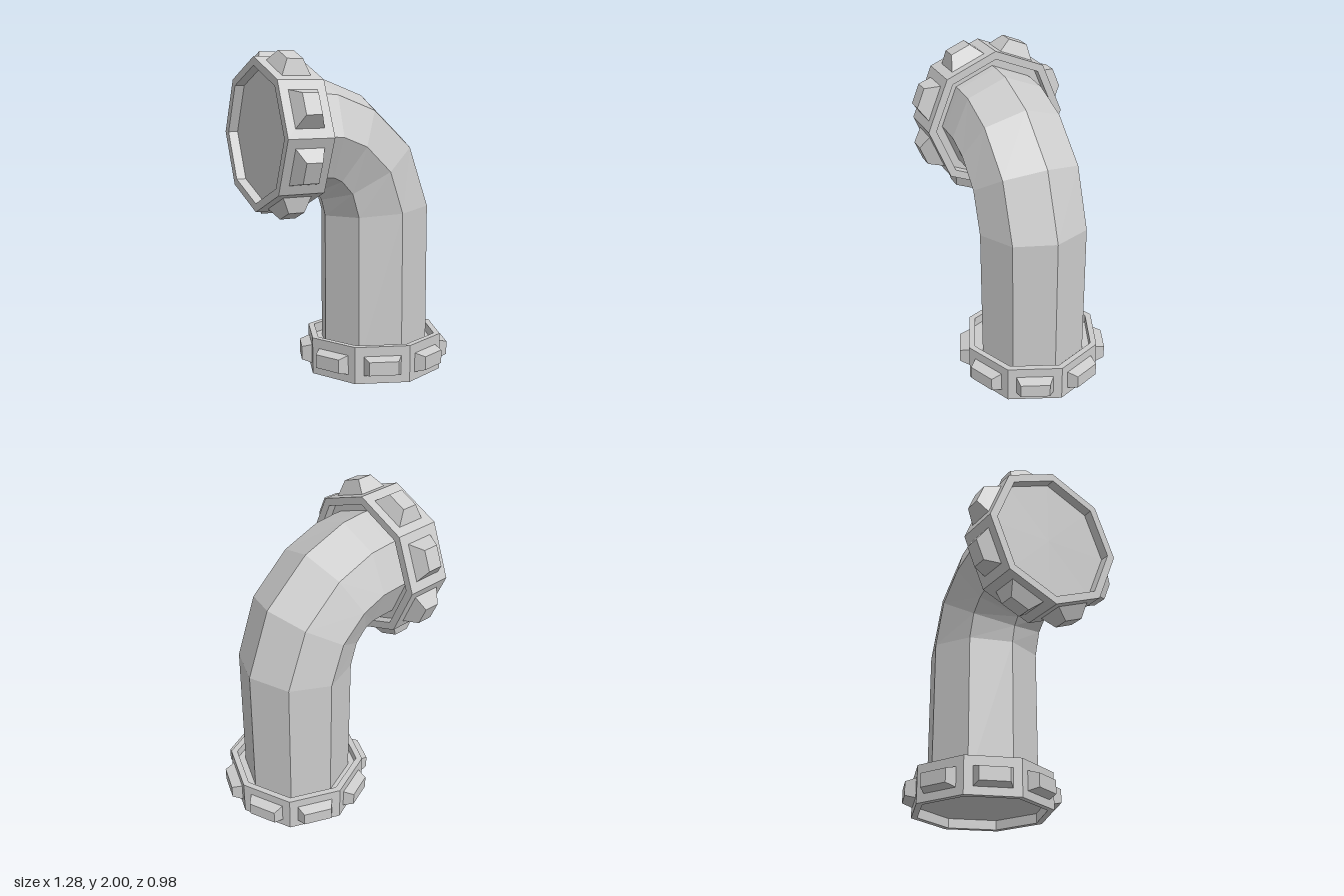
import * as THREE from 'three';

const SIDES = 8;
const material = new THREE.MeshStandardMaterial({ color: 0xcccccc, flatShading: true, side: THREE.DoubleSide });

function addMesh(parent, geometry, name) {
  const mesh = new THREE.Mesh(geometry, material);
  mesh.name = name;
  parent.add(mesh);
  return mesh;
}

// Octagonal pipe skinned over rings, each given by its outer and inner point in the xy plane
function pipeGeometry(rings, halfDepth) {
  const positions = [];
  const indices = [];
  for (const [ox, oy, ix, iy] of rings) {
    for (let s = 0; s < SIDES; s++) {
      const a = (s / SIDES) * Math.PI * 2;
      const c = Math.cos(a) / 2;
      positions.push((ox + ix) / 2 + c * (ox - ix), (oy + iy) / 2 + c * (oy - iy), halfDepth * Math.sin(a));
    }
  }
  for (let r = 0; r < rings.length - 1; r++) {
    for (let s = 0; s < SIDES; s++) {
      const a = r * SIDES + s;
      const b = r * SIDES + (s + 1) % SIDES;
      indices.push(a, a + SIDES, b, b, a + SIDES, b + SIDES);
    }
  }
  const geometry = new THREE.BufferGeometry();
  geometry.setAttribute('position', new THREE.Float32BufferAttribute(positions, 3));
  geometry.setIndex(indices);
  geometry.computeVertexNormals();
  return geometry;
}

// Stud: a box along +z whose outer face is narrowed
function studGeometry(base, tip, height) {
  const geometry = new THREE.BoxGeometry(2, 2, height);
  const p = geometry.attributes.position;
  for (let i = 0; i < p.count; i++) {
    const size = p.getZ(i) > 0 ? tip : base;
    p.setXY(i, p.getX(i) * size[0], p.getY(i) * size[1]);
  }
  geometry.translate(0, 0, height / 2);
  geometry.computeVertexNormals();
  return geometry;
}

// Flange: octagonal collar with a shallow recess at both ends and a stud on every side
function makeFlange(name, { radius, inner, height, studBase, studTip, studReach, studY }) {
  const flange = new THREE.Group();
  flange.name = name;
  const recess = 0.06;
  const profile = [
    [0, recess], [inner, recess], [inner, 0], [radius, 0],
    [radius, height], [inner, height], [inner, height - recess], [0, height - recess],
  ].map(([x, y]) => new THREE.Vector2(x, y));
  addMesh(flange, new THREE.LatheGeometry(profile, SIDES), 'collar');

  const apothem = radius * Math.cos(Math.PI / SIDES);
  const geometry = studGeometry(studBase, studTip, studReach - apothem);
  for (let i = 0; i < SIDES; i++) {
    const angle = ((i + 0.5) / SIDES) * Math.PI * 2;
    const stud = addMesh(flange, geometry, 'stud');
    stud.position.set(Math.sin(angle) * apothem, studY, Math.cos(angle) * apothem);
    stud.rotation.y = angle;
  }
  return flange;
}

export function createModel() {
  const model = new THREE.Group();
  model.name = 'pipeElbow';

  // Bent pipe, from the floor up and over to the left
  addMesh(model, pipeGeometry([
    [0.52, 0.1, -0.175, 0.1],
    [0.52, 1.06, -0.175, 1.0],
    [0.37, 1.475, -0.2, 1.1],
    [0.08, 1.737, -0.235, 1.148],
    [-0.21, 1.845, -0.25, 1.16],
    [-0.36, 1.858, -0.36, 1.165],
    [-0.5, 1.858, -0.5, 1.165],
  ], 0.346), 'pipe');

  // Floor flange
  const baseFlange = makeFlange('baseFlange', {
    radius: 0.44, inner: 0.4, height: 0.23,
    studBase: [0.115, 0.06], studTip: [0.09, 0.042], studReach: 0.47, studY: 0.11,
  });
  baseFlange.position.x = 0.173;
  model.add(baseFlange);

  // Mouth flange, turned to face sideways
  const mouthFlange = makeFlange('mouthFlange', {
    radius: 0.456, inner: 0.405, height: 0.29,
    studBase: [0.115, 0.09], studTip: [0.065, 0.05], studReach: 0.503, studY: 0.145,
  });
  mouthFlange.rotation.z = Math.PI / 2;
  mouthFlange.position.set(-0.35, 1.51, 0);
  model.add(mouthFlange);

  return model;
}
